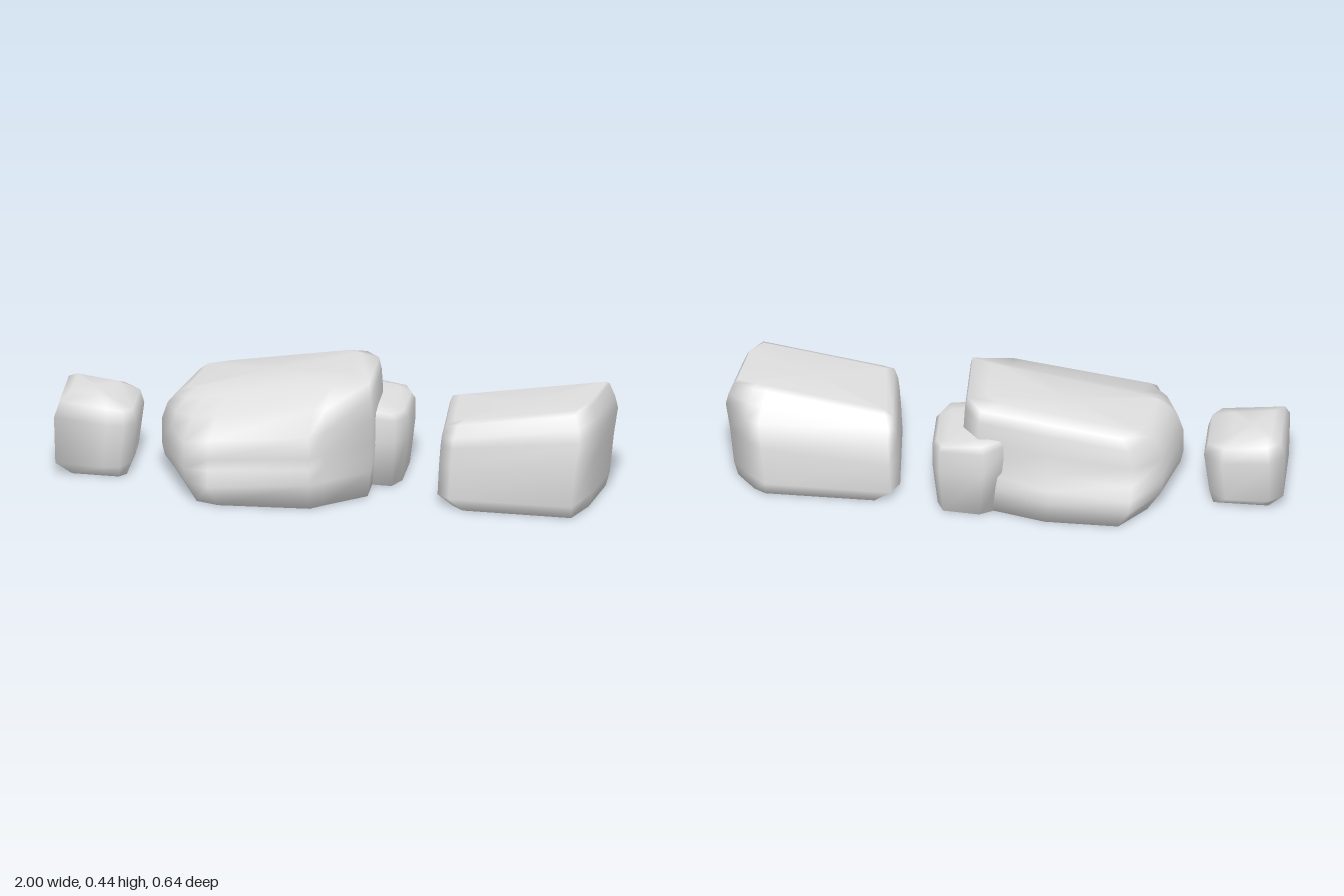
import * as THREE from 'three';

const stone = new THREE.MeshStandardMaterial({ color: 0xdedede });
stone.name = 'pale stone grey';

// Lofts a boulder: one plan outline [x, z] running left, back, right, front is fitted between
// left and right and cut off at back and front on each level [t, left, right, back, front];
// t is a share of the sloping top(x).
function rock(name, outline, levels, top) {
  const pos = [], idx = [];
  const n = outline.length;
  const xs = outline.map(([x]) => x);
  const min = Math.min(...xs), max = Math.max(...xs);
  for (const [t, left, right, back, front] of levels) {
    for (const [px, pz] of outline) {
      const x = THREE.MathUtils.mapLinear(px, min, max, left, right);
      pos.push(x, t * top(x), THREE.MathUtils.clamp(pz, back, front));
    }
  }
  const last = levels.length - 1;
  for (let r = 0; r < last; r++) {
    for (let i = 0; i < n; i++) {
      const a = r * n + i, b = r * n + (i + 1) % n, c = a + n, d = b + n;
      idx.push(a, c, b, b, c, d);
    }
  }
  // Caps fan out from the middle of the first and last levels
  for (const r of [0, last]) {
    const [t, left, right, back, front] = levels[r];
    const x = (left + right) / 2, centre = pos.length / 3;
    pos.push(x, t * top(x), (back + front) / 2);
    for (let i = 0; i < n; i++) {
      const a = r * n + i, b = r * n + (i + 1) % n;
      if (r === 0) idx.push(a, b, centre);
      else idx.push(a, centre, b);
    }
  }
  const g = new THREE.BufferGeometry();
  g.setAttribute('position', new THREE.Float32BufferAttribute(pos, 3));
  g.setIndex(idx);
  g.computeVertexNormals();
  const mesh = new THREE.Mesh(g, stone);
  mesh.name = name;
  return mesh;
}

export function createModel() {
  const group = new THREE.Group();
  group.name = 'boulders';

  // Big boulder: sloping crest, low ledge behind, stepped front
  group.add(rock('largeBoulder',
    [[-.62, .03], [-.57, -.18], [-.47, -.325], [-.18, -.31], [.08, -.24], [.14, -.16], [.15, .12],
      [0, .23], [-.05, .27], [-.41, .32], [-.5, .27], [-.57, .13]],
    [
      [0.01, -.56, .14, -.3, .295],
      [0.22, -.61, .15, -.325, .32],
      [0.36, -.62, .155, -.32, .285],
      [0.46, -.62, .155, -.275, .275],
      [0.66, -.62, .155, -.265, .27],
      [0.84, -.6, .15, -.25, .19],
      [0.94, -.57, .14, -.23, .085],
      [1, -.53, .07, -.19, .035],
    ],
    (x) => 0.335 + 0.17 * (x + 0.55)));

  // Right boulder: blocky with a top rising to one end and a shoulder behind
  group.add(rock('blockBoulder',
    [[.37, -.18], [.4, -.24], [.87, -.25], [.92, -.21], [1, -.13], [.97, .07], [.92, .22], [.45, .19], [.4, .15]],
    [
      [0.01, .43, .955, -.235, .185],
      [0.14, .37, .97, -.25, .21],
      [0.5, .375, .985, -.24, .22],
      [0.74, .38, 1, -.22, .2],
      [0.85, .385, .99, -.17, .185],
      [0.97, .4, .97, -.14, .155],
      [1, .43, .96, -.12, .13],
    ],
    (x) => 0.315 + 0.17 * (x - 0.4)));

  // Small boulder standing apart
  group.add(rock('smallBoulder',
    [[-1, -.12], [-.95, -.18], [-.78, -.17], [-.71, -.11], [-.705, .07], [-.74, .13], [-.8, .145], [-.99, .145]],
    [
      [0.01, -.94, -.74, -.11, .1],
      [0.18, -.995, -.725, -.16, .14],
      [0.75, -1, -.705, -.18, .145],
      [0.92, -.985, -.72, -.15, .11],
      [1, -.95, -.8, -.1, .05],
    ],
    (x) => 0.295 - 0.12 * (x + 0.87)));

  // Small boulder tucked behind the big one
  group.add(rock('tuckedBoulder',
    [[-.02, -.24], [.06, -.3], [.22, -.27], [.25, -.22], [.255, -.05], [.22, .02], [.15, .035], [0, 0]],
    [
      [0.01, .01, .235, -.28, .01],
      [0.6, -.02, .255, -.3, .035],
      [0.9, -.02, .255, -.3, .03],
      [0.97, 0, .24, -.28, .01],
      [1, .05, .2, -.24, -.04],
    ],
    (x) => 0.295 - 0.12 * (x - 0.13)));

  return group;
}
